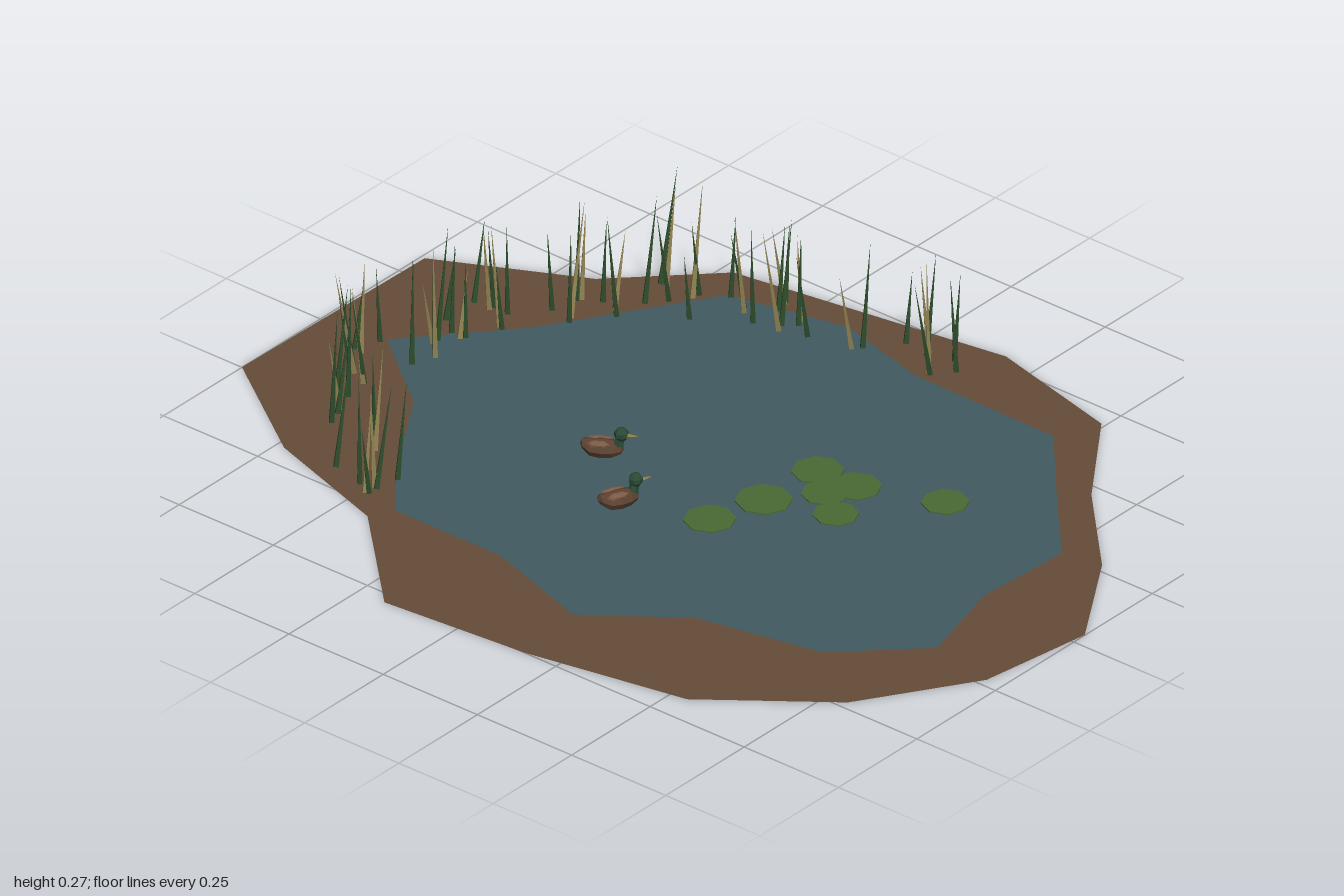
import * as THREE from 'three';

const mat = (name, color) => {
  const m = new THREE.MeshStandardMaterial({ color, flatShading: true });
  m.name = name;
  return m;
};
const soil = mat('soil', 0x654c38), water = mat('water', 0x415a60), lily = mat('lilyGreen', 0x4a6a34);
const reedGreen = mat('reedGreen', 0x2c4a2a), reedTan = mat('reedTan', 0x8f8150);
const feather = mat('featherBrown', 0x5a4030), wingBrown = mat('wingBrown', 0x7a5a45);
const headGreen = mat('headGreen', 0x2a4a35), billTan = mat('billTan', 0x8a7a3c);
soil.side = water.side = THREE.DoubleSide;

// Outlines as [x, z]
const bank = [[-0.99, -0.32], [-0.67, -0.48], [-0.47, -0.68], [0.17, -0.78], [0.49, -0.7], [0.655, -0.47],
  [0.85, -0.27], [1, -0.035], [0.96, 0.23], [0.8, 0.48], [0.54, 0.68], [0.17, 0.75], [-0.18, 0.78],
  [-0.425, 0.54], [-0.73, 0.44], [-1, 0.25]];
const pond = [[-0.42, -0.6], [-0.15, -0.66], [0.08, -0.6], [0.45, -0.595], [0.6, -0.425], [0.76, -0.25],
  [0.745, -0.02], [0.805, 0.2], [0.635, 0.365], [0.35, 0.425], [0.15, 0.575], [-0.115, 0.49],
  [-0.395, 0.49], [-0.505, 0.35], [-0.64, 0.135], [-0.84, -0.02], [-0.64, -0.25]];
const pads = [[0.45, -0.25, 0.05], [0.17, -0.18, 0.055], [0.27, -0.18, 0.055], [0.16, -0.02, 0.06],
  [0.31, -0.07, 0.048], [0.125, 0.11, 0.055], [0.24, -0.12, 0.05]];
const reedSpots = [[-0.02, -0.69], [0.04, -0.69], [0.13, -0.67], [0.09, -0.63], [0.1, -0.7], [-0.09, -0.6],
  [-0.19, -0.58], [-0.31, -0.65], [-0.3, -0.62], [-0.24, -0.62], [-0.41, -0.6], [-0.35, -0.57], [-0.31, -0.55],
  [-0.25, -0.56], [-0.42, -0.48], [-0.54, -0.55], [-0.5, -0.51], [-0.47, -0.55], [-0.53, -0.47], [-0.56, -0.41],
  [-0.6, -0.42], [-0.64, -0.4], [-0.66, -0.33], [-0.61, -0.33], [-0.72, -0.26], [-0.76, -0.25], [-0.8, -0.25],
  [-0.7, -0.21], [-0.8, -0.16], [-0.73, -0.12], [-0.76, -0.13], [-0.76, -0.07], [-0.85, -0.01], [-0.85, 0.05],
  [-0.74, 0.02], [-0.72, -0.03], [-0.83, 0.1], [-0.81, 0.12], [-0.79, 0.2], [-0.77, 0.14], [-0.76, 0.2],
  [-0.74, 0.25], [-0.72, 0.3], [-0.58, 0.33], [-0.6, 0.43], [-0.49, 0.44], [-0.47, 0.39], [-0.49, 0.47], [-0.52, 0.45]];

function add(parent, name, geo, material, x = 0, y = 0, z = 0) {
  const m = new THREE.Mesh(geo, material);
  m.name = name;
  m.position.set(x, y, z);
  parent.add(m);
  return m;
}

const sheet = pts => new THREE.ShapeGeometry(
  new THREE.Shape(pts.map(([x, z]) => new THREE.Vector2(x, -z)))).rotateX(-Math.PI / 2);

function makeDuck(name, x, z, heading) {
  const duck = new THREE.Group();
  duck.name = name;
  // Body along +x, with a raised pointed tail
  const body = new THREE.SphereGeometry(1, 8, 6).rotateZ(Math.PI / 2).scale(0.046, 0.021, 0.027);
  const p = body.attributes.position;
  for (let i = 0; i < p.count; i++) if (p.getX(i) < -0.03) p.setY(i, p.getY(i) + 0.007);
  add(duck, 'body', body, feather, 0, 0.04, 0);
  for (const s of [-1, 1]) {
    const wing = add(duck, 'wing', new THREE.SphereGeometry(1, 6, 4).scale(0.029, 0.009, 0.01), wingBrown, -0.005, 0.052, s * 0.012);
    wing.rotation.x = s * 0.5;
  }
  const neck = add(duck, 'neck', new THREE.CylinderGeometry(0.008, 0.012, 0.026, 6), headGreen, 0.036, 0.06, 0);
  neck.rotation.z = -0.2;
  add(duck, 'head', new THREE.SphereGeometry(0.0155, 7, 5), headGreen, 0.04, 0.075, 0);
  const bill = new THREE.ConeGeometry(0.008, 0.028, 4).rotateZ(-Math.PI / 2).scale(1, 0.6, 1);
  add(duck, 'bill', bill, billTan, 0.064, 0.073, 0);
  duck.position.set(x, 0, z);
  duck.rotation.y = heading;
  return duck;
}

export function createModel() {
  const model = new THREE.Group();
  model.name = 'duckPond';
  add(model, 'bank', sheet(bank), soil);
  add(model, 'waterSurface', sheet(pond), water, 0, 0.003, 0);

  // Floating leaves
  pads.forEach(([x, z, r], i) =>
    add(model, 'lilyPad', new THREE.CylinderGeometry(r, r, 0.003, 8), lily, x, 0.0055 + i * 0.0002, z));

  // Reeds leaning forwards or backwards around the left shore
  let seed = 7;
  const rand = () => (seed = (seed * 16807) % 2147483647) / 2147483647;
  const reeds = new THREE.Group();
  reeds.name = 'reeds';
  model.add(reeds);
  reedSpots.forEach(([x, z], i) => {
    const blades = i % 2 ? 2 : 1;
    for (let k = 0; k < blades; k++) {
      const h = 0.16 + 0.11 * rand();
      const geo = new THREE.ConeGeometry(0.0075, h, 4).translate(0, h / 2, 0);
      const reed = add(reeds, 'reed', geo, (i + k) % 2 ? reedTan : reedGreen,
        x + k * (rand() - 0.5) * 0.04, 0.001, z + k * (rand() - 0.5) * 0.04);
      reed.rotation.set((rand() - 0.5) * 0.46, 0, (rand() - 0.5) * 0.04);
    }
  });

  model.add(makeDuck('firstDuck', -0.19, 0.075, 0.53));
  model.add(makeDuck('secondDuck', -0.035, 0.21, 1.13));
  return model;
}
